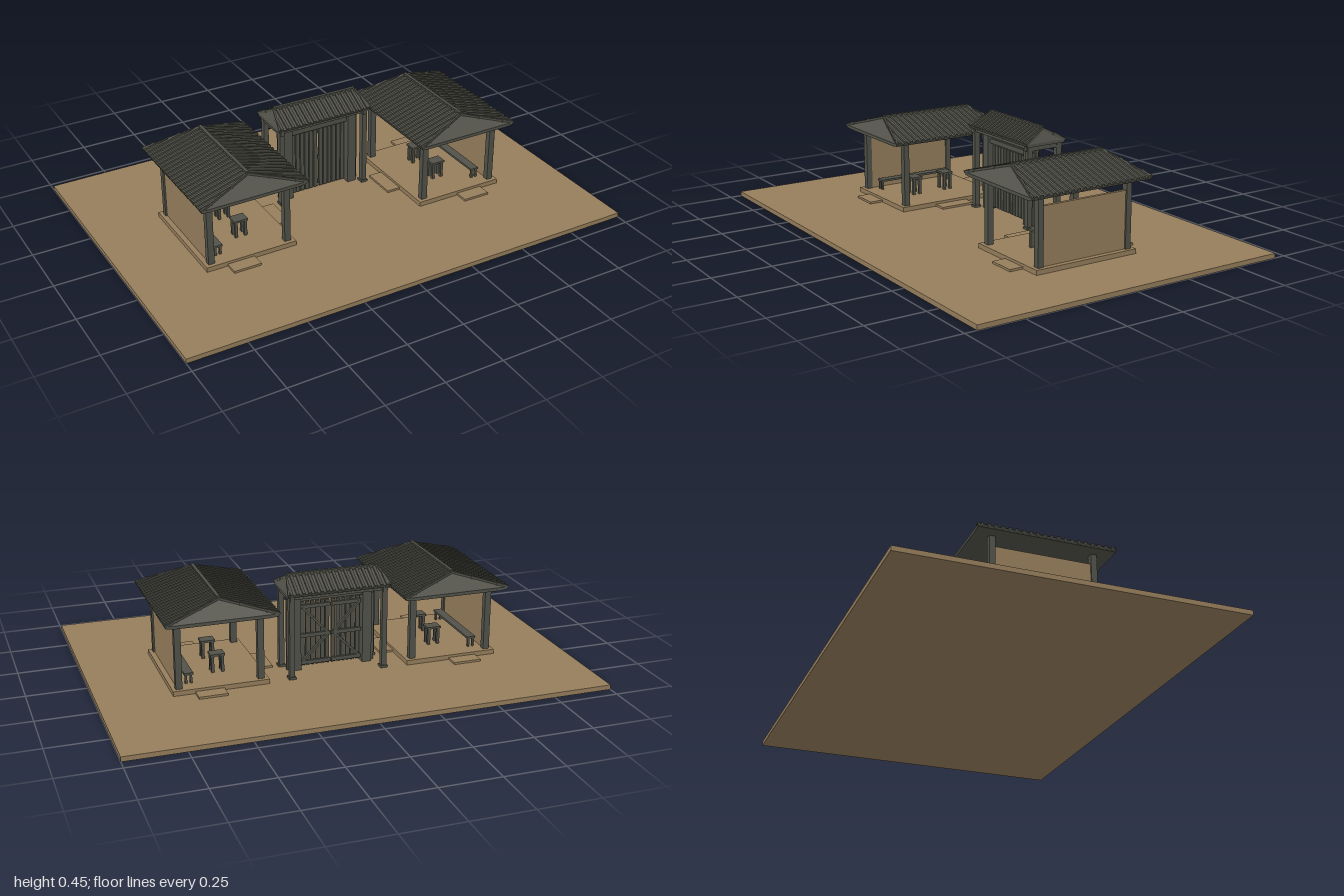
import * as THREE from 'three';
import { ConvexGeometry } from 'three/addons/geometries/ConvexGeometry.js';

const mat = (name, color) => {
  const m = new THREE.MeshStandardMaterial({ color });
  m.name = name;
  return m;
};
const V = (x, y, z) => new THREE.Vector3(x, y, z);

export function createModel() {
  const earth = mat('earth', 0x967e5c);
  const wood = mat('dark wood', 0x52524a);
  const tile = mat('roof tile', 0x4e4e46);

  // Box given by its minimum and maximum corners
  const box = (parent, name, m, x0, x1, y0, y1, z0, z1) => {
    const mesh = new THREE.Mesh(new THREE.BoxGeometry(x1 - x0, y1 - y0, z1 - z0), m);
    mesh.position.set((x0 + x1) / 2, (y0 + y1) / 2, (z0 + z1) / 2);
    mesh.name = name;
    parent.add(mesh);
    return mesh;
  };
  // Square bar between two points
  const bar = (parent, name, m, a, b, w, h = w) => {
    const mesh = new THREE.Mesh(new THREE.BoxGeometry(w, h, a.distanceTo(b)), m);
    mesh.position.copy(a).add(b).multiplyScalar(0.5);
    mesh.lookAt(b);
    mesh.name = name;
    parent.add(mesh);
  };

  // Tiled roof: ridge along z, sloping ends, rows of tile ribs
  const makeRoof = (w, l, ridge, yBase, yEave, yRidge, rows, inset) => {
    const g = new THREE.Group();
    g.name = 'roof';
    const pts = [V(0, yRidge, ridge), V(0, yRidge, -ridge)];
    for (const sx of [-1, 1]) for (const sz of [-1, 1]) {
      pts.push(V(sx * w, yEave, sz * l), V(sx * (w - 0.005), yEave - 0.01, sz * l));
      pts.push(V(sx * (w - inset), yBase, sz * l));
    }
    const body = new THREE.Mesh(new ConvexGeometry(pts), wood);
    body.name = 'roofBody';
    g.add(body);
    for (const s of [-1, 1]) {
      for (let i = 0; i < rows; i++) {
        const z = -l + (i + 0.5) * 2 * l / rows;
        const t = Math.max(0, (Math.abs(z) - ridge) / (l - ridge));
        if (t > 0.95) continue;
        const y = yRidge + (yEave - yRidge) * t;
        bar(g, 'tileRib', tile, V(s * w * t, y, z), V(s * w, yEave, z), 0.012, 0.014);
      }
      for (const e of [-1, 1])
        bar(g, 'roofVerge', tile, V(0, yRidge, e * ridge), V(s * w, yEave, e * l), 0.008, 0.01);
    }
    box(g, 'ridgeCap', tile, -0.007, 0.007, yRidge - 0.005, yRidge + 0.01, -ridge, ridge);
    return g;
  };

  // Small table or bench with four legs
  const furniture = (parent, name, x0, x1, y1, z0, z1, leg) => {
    const g = new THREE.Group();
    g.name = name;
    box(g, 'top', wood, x0, x1, y1 - 0.009, y1, z0, z1);
    for (const x of [x0 + 0.004, x1 - 0.004 - leg])
      for (const z of [z0 + 0.004, z1 - 0.004 - leg])
        box(g, 'leg', wood, x, x + leg, 0.04, y1 - 0.009, z, z + leg);
    parent.add(g);
  };

  // Open shelter on the +x or -x side, wall on its outer side
  const makeShelter = (side) => {
    const g = new THREE.Group();
    g.name = side > 0 ? 'leftShelter' : 'rightShelter';
    const sbox = (name, m, x0, x1, ...rest) =>
      side > 0 ? box(g, name, m, x0, x1, ...rest) : box(g, name, m, -x1, -x0, ...rest);
    sbox('floor', earth, 0.3, 0.7, 0.02, 0.04, -0.24, 0.24);
    sbox('innerStep', earth, 0.24, 0.3, 0.02, 0.029, -0.08, 0.075);
    sbox('frontStep', earth, 0.49, 0.61, 0.02, 0.029, 0.24, 0.3);
    sbox('backStep', earth, 0.49, 0.61, 0.02, 0.029, -0.3, -0.24);
    sbox('wall', earth, 0.664, 0.678, 0.04, 0.28, -0.2, 0.2);
    for (const x of [0.317, 0.658]) for (const z of [-0.223, 0.198])
      sbox('post', wood, x, x + 0.027, 0.04, 0.325, z, z + 0.025);
    const f = new THREE.Group();
    f.name = 'furniture';
    furniture(f, 'bench', side * 0.621 - 0.019, side * 0.621 + 0.019, 0.086, -0.18, 0.18, 0.009);
    for (const z of [-0.08, 0.08])
      furniture(f, 'table', side * 0.48 - 0.031, side * 0.48 + 0.031, 0.12, z - 0.025, z + 0.025, 0.012);
    g.add(f);
    const lamp = new THREE.Mesh(new THREE.SphereGeometry(0.008, 10, 8), wood);
    lamp.position.set(side * 0.5, 0.316, 0);
    lamp.name = 'lamp';
    g.add(lamp);
    const roof = makeRoof(0.233, 0.284, 0.22, 0.32, 0.334, 0.403, 20, 0.035);
    roof.position.x = side * 0.5;
    g.add(roof);
    return g;
  };

  // Roofed gate with two slatted leaves
  const makeGate = () => {
    const g = new THREE.Group();
    g.name = 'gate';
    const zc = -0.145, zd = -0.118;
    for (const s of [-1, 1]) {
      for (const z of [-0.072, -0.218]) {
        box(g, 'post', wood, s * 0.2 - 0.011, s * 0.2 + 0.011, 0.02, 0.375, z - 0.012, z + 0.012);
        box(g, 'postFoot', wood, s * 0.2 - 0.015, s * 0.2 + 0.015, 0.02, 0.03, z - 0.016, z + 0.016);
      }
      box(g, 'sideBeam', wood, s * 0.2 - 0.009, s * 0.2 + 0.009, 0.355, 0.375, -0.235, -0.055);
      box(g, 'doorPost', wood, s * 0.155 - 0.02, s * 0.155 + 0.02, 0.02, 0.36, zd - 0.027, zd + 0.027);
      box(g, 'sidePanel', wood, s * 0.183 - 0.009, s * 0.183 + 0.009, 0.02, 0.36, zd - 0.008, zd + 0.004);

      // Leaf: slats in front, rails and diagonal brace behind
      const leaf = new THREE.Group();
      leaf.name = 'gateLeaf';
      for (let i = 0; i < 6; i++) {
        const x = s * (0.013 + i * 0.0215);
        box(leaf, 'slat', wood, x - 0.0085, x + 0.0085, 0.03, 0.31, zd - 0.004, zd + 0.005);
      }
      for (const y of [0.045, 0.165, 0.292])
        box(leaf, 'rail', wood, s * 0.0675 - 0.0645, s * 0.0675 + 0.0645, y - 0.008, y + 0.008, zd - 0.014, zd - 0.004);
      bar(leaf, 'brace', wood, V(s * 0.125, 0.05, zd - 0.01), V(s * 0.01, 0.165, zd - 0.01), 0.012, 0.01);
      bar(leaf, 'brace', wood, V(s * 0.125, 0.29, zd - 0.01), V(s * 0.01, 0.165, zd - 0.01), 0.012, 0.01);
      g.add(leaf);
    }
    box(g, 'lintel', wood, -0.185, 0.185, 0.318, 0.338, zd - 0.016, zd + 0.016);
    box(g, 'lintelPanel', wood, -0.18, 0.18, 0.338, 0.37, zd - 0.006, zd + 0.006);
    for (const z of [-0.072, -0.218])
      box(g, 'eaveBeam', wood, -0.211, 0.211, 0.362, 0.378, z - 0.009, z + 0.009);
    const roof = makeRoof(0.099, 0.218, 0.195, 0.374, 0.387, 0.44, 17, 0.012);
    roof.rotation.y = Math.PI / 2;
    roof.position.z = zc;
    g.add(roof);
    return g;
  };

  const model = new THREE.Group();
  model.name = 'courtyard';
  box(model, 'ground', earth, -1, 1, 0, 0.02, -0.7, 0.7);
  model.add(makeShelter(1), makeShelter(-1), makeGate());
  return model;
}
